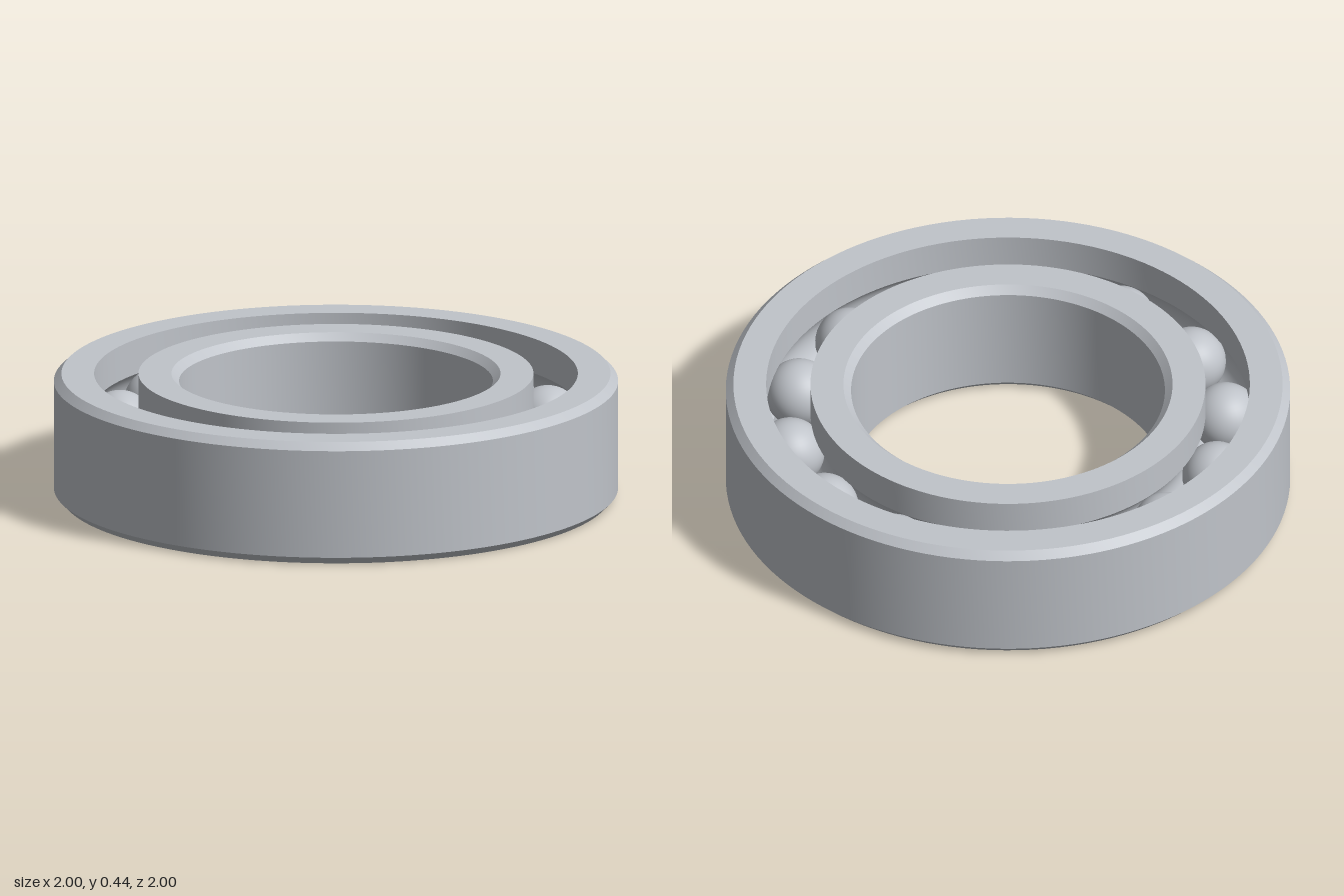
import * as THREE from 'three';
import { toCreasedNormals } from 'three/addons/utils/BufferGeometryUtils.js';

const HEIGHT = 0.444, MID = HEIGHT / 2;
const BORE = 0.556, OUTER = 1, CHAMFER = 0.027;
const PITCH = 0.778, BALL = 0.122, GROOVE = 0.1235;
const INNER_SHOULDER = 0.7, OUTER_SHOULDER = 0.857;
const BALLS = 14;

// Points along the raceway groove, from angle a to angle b about the ball centre
function groove(a, b, steps = 14) {
  return Array.from({ length: steps + 1 }, (_, i) => {
    const t = a + (b - a) * i / steps;
    return [PITCH + GROOVE * Math.cos(t), MID + GROOVE * Math.sin(t)];
  });
}

// Revolve a closed, counter-clockwise cross-section into a ring
function ring(name, profile, material) {
  const points = [...profile, profile[0]].map(([r, y]) => new THREE.Vector2(r, y));
  const geometry = toCreasedNormals(new THREE.LatheGeometry(points, 128), 0.5);
  const mesh = new THREE.Mesh(geometry, material);
  mesh.name = name;
  return mesh;
}

export function createModel() {
  const model = new THREE.Group();
  model.name = 'ballBearing';
  const steel = new THREE.MeshStandardMaterial({ color: 0xc0c4ca });
  steel.name = 'steel';

  // Outer ring: chamfered outside, groove inside
  const ao = Math.acos((OUTER_SHOULDER - PITCH) / GROOVE);
  model.add(ring('outerRing', [
    [OUTER_SHOULDER, 0], [OUTER - CHAMFER, 0], [OUTER, CHAMFER],
    [OUTER, HEIGHT - CHAMFER], [OUTER - CHAMFER, HEIGHT], [OUTER_SHOULDER, HEIGHT],
    ...groove(ao, -ao),
  ], steel));

  // Inner ring: chamfered bore, groove outside
  const ai = Math.acos((PITCH - INNER_SHOULDER) / GROOVE);
  model.add(ring('innerRing', [
    [BORE + CHAMFER, 0], [INNER_SHOULDER, 0],
    ...groove(Math.PI + ai, Math.PI - ai),
    [INNER_SHOULDER, HEIGHT], [BORE + CHAMFER, HEIGHT],
    [BORE, HEIGHT - CHAMFER], [BORE, CHAMFER],
  ], steel));

  // Rolling balls, evenly spaced in the raceway
  const balls = new THREE.Group();
  balls.name = 'balls';
  const sphere = new THREE.SphereGeometry(BALL, 40, 24);
  for (let i = 0; i < BALLS; i++) {
    const a = i / BALLS * Math.PI * 2;
    const ball = new THREE.Mesh(sphere, steel);
    ball.name = 'ball' + (i + 1);
    ball.position.set(PITCH * Math.cos(a), MID, PITCH * Math.sin(a));
    balls.add(ball);
  }
  model.add(balls);
  return model;
}
